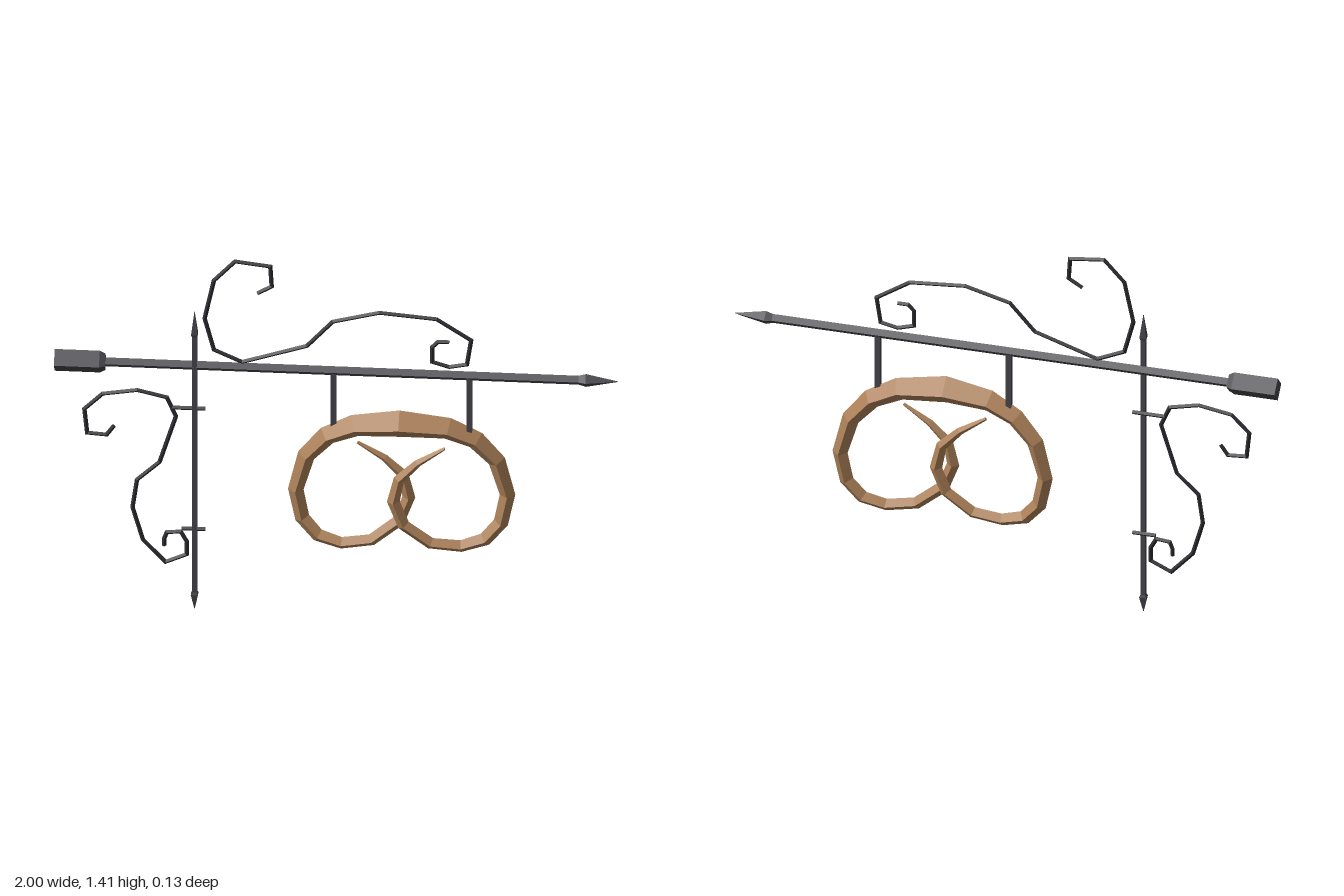
import * as THREE from 'three';

const iron = new THREE.MeshStandardMaterial({ color: 0x434348, flatShading: true });
iron.name = 'iron';
const darkIron = new THREE.MeshStandardMaterial({ color: 0x2c2c31, flatShading: true });
darkIron.name = 'dark iron';
const bakedBrown = new THREE.MeshStandardMaterial({ color: 0xab8058, flatShading: true });
bakedBrown.name = 'baked brown';

// Sweep a four-sided section along stations [x, y, z, radius]; turn = 0 diamond, PI/4 square
function sweep(name, stations, material, { turn = 0, depth = 1 } = {}) {
  const p = stations.map(s => new THREE.Vector3(s[0], s[1], s[2]));
  const dir = (a, b) => new THREE.Vector2(b.x - a.x, b.y - a.y).normalize();
  const last = p.length - 1;
  const rings = p.map((c, i) => {
    const before = dir(p[Math.max(i - 1, 0)], p[Math.max(i, 1)]);
    const after = dir(p[Math.min(i, last - 1)], p[Math.min(i + 1, last)]);
    const t = before.clone().add(after).normalize();
    const mitre = 1 / Math.max(t.dot(after), 0.7);
    const r = stations[i][3];
    return [0, 1, 2, 3].map(k => {
      const a = turn + k * Math.PI / 2;
      const n = Math.cos(a) * r * mitre;
      return new THREE.Vector3(c.x - t.y * n, c.y + t.x * n, c.z + Math.sin(a) * r * depth);
    });
  });
  const v = [];
  const quad = (a, b, c, d) => [a, b, c, a, c, d].forEach(q => v.push(q.x, q.y, q.z));
  for (let i = 0; i < last; i++) {
    for (let k = 0; k < 4; k++) {
      const m = (k + 1) % 4;
      quad(rings[i][k], rings[i][m], rings[i + 1][m], rings[i + 1][k]);
    }
  }
  const [s, e] = [rings[0], rings[last]];
  quad(s[3], s[2], s[1], s[0]);
  quad(e[0], e[1], e[2], e[3]);
  const g = new THREE.BufferGeometry();
  g.setAttribute('position', new THREE.Float32BufferAttribute(v, 3));
  g.computeVertexNormals();
  const mesh = new THREE.Mesh(g, material);
  mesh.name = name;
  return mesh;
}

const Z = -0.01;
const square = { turn: Math.PI / 4 };

export function createModel() {
  const group = new THREE.Group();
  group.name = 'hangingSign';

  // Horizontal bar with heavy butt and arrow tip
  group.add(sweep('barButt', [[-1, 0.979, Z, 0.044], [-0.84, 0.979, Z, 0.044], [-0.82, 0.979, Z, 0.033]], iron));
  group.add(sweep('bar', [[-0.83, 0.979, Z, 0.018], [0.88, 0.979, Z, 0.018]], iron));
  group.add(sweep('barTip', [[0.86, 0.979, Z, 0.018], [0.885, 0.979, Z, 0.026], [1, 0.979, Z, 0.001]], iron));

  // Upright pole, pointed at both ends
  const px = -0.503;
  group.add(sweep('pole', [
    [px, 0, -0.002, 0.001], [px, 0.06, -0.002, 0.018], [px, 0.07, -0.002, 0.0125],
    [px, 1.1, -0.002, 0.0125], [px, 1.11, -0.002, 0.017], [px, 1.2, -0.002, 0.001],
  ], iron, square));

  // Short pins tying the lower scroll to the pole
  group.add(sweep('upperPin', [[-0.585, 0.805, Z, 0.008], [-0.465, 0.805, Z, 0.008]], darkIron));
  group.add(sweep('lowerPin', [[-0.55, 0.318, Z, 0.008], [-0.465, 0.318, Z, 0.008]], darkIron));

  // Wrought scrolls
  const scroll = (name, pts) => group.add(sweep(name, pts.map(([x, y]) => [x, y, Z, 0.0078]), darkIron));
  scroll('upperScroll', [
    [-0.28, 1.28], [-0.23, 1.31], [-0.235, 1.39], [-0.36, 1.405], [-0.435, 1.325], [-0.468, 1.17],
    [-0.435, 1.045], [-0.335, 1], [-0.105, 1.075], [-0.013, 1.177], [0.152, 1.22], [0.355, 1.203],
    [0.478, 1.123], [0.463, 1.025], [0.4, 1.012], [0.34, 1.03], [0.34, 1.09], [0.361, 1.112], [0.4, 1.112],
  ]);
  scroll('lowerScroll', [
    [-0.79, 0.722], [-0.816, 0.685], [-0.885, 0.69], [-0.895, 0.786], [-0.83, 0.85], [-0.708, 0.87],
    [-0.602, 0.845], [-0.57, 0.77], [-0.628, 0.583], [-0.708, 0.508], [-0.724, 0.396], [-0.687, 0.267],
    [-0.607, 0.18], [-0.532, 0.214], [-0.532, 0.267], [-0.553, 0.305], [-0.602, 0.3], [-0.612, 0.273], [-0.612, 0.246],
  ]);

  // Hangers
  for (const x of [-0.01, 0.472]) {
    group.add(sweep('hanger', [[x, 0.975, Z, 0.014], [x, 0.755, Z, 0.014]], iron, square));
  }

  // Pretzel: half of the rope as [offset from its middle, y, radius, z right half, z left half]
  const half = [
    [0.165, 0.765, 0.043, -0.008, -0.002], [0.264, 0.716, 0.036, -0.019, -0.01],
    [0.338, 0.63, 0.031, -0.028, -0.015], [0.375, 0.492, 0.027, -0.035, -0.016], [0.352, 0.38, 0.026, -0.031, -0.013],
    [0.296, 0.315, 0.025, -0.022, -0.006], [0.212, 0.29, 0.023, -0.01, 0], [0.105, 0.305, 0.022, 0.005, -0.004],
    [0.01, 0.38, 0.022, 0.015, -0.015], [-0.026, 0.475, 0.022, 0.018, -0.021], [-0.006, 0.565, 0.019, 0.018, -0.02],
    [0.06, 0.632, 0.014, 0.016, -0.016], [0.155, 0.694, 0.006, 0.014, -0.01],
  ];
  const mid = 0.23;
  const rope = [
    ...half.map(([d, y, r, , z]) => [mid - d, y, z, r]).reverse(),
    [mid - 0.005, 0.783, 0.004, 0.053],
    ...half.map(([d, y, r, z]) => [mid + d, y, z, r]),
  ];
  group.add(sweep('pretzel', rope, bakedBrown, { depth: 1.12 }));

  return group;
}
